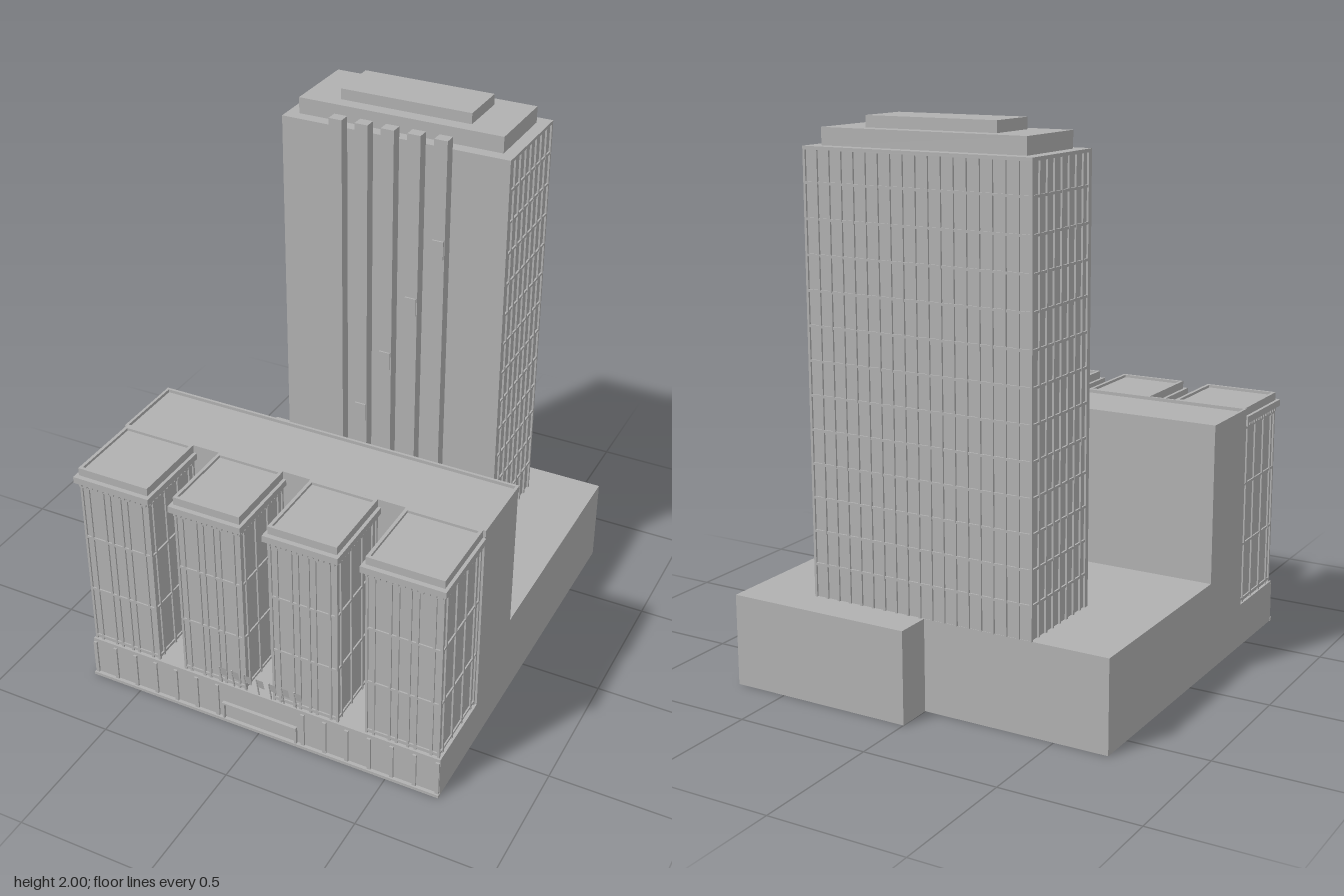
import * as THREE from 'three';
import { mergeGeometries } from 'three/addons/utils/BufferGeometryUtils.js';

const stone = new THREE.MeshStandardMaterial({ color: 0xb0b0b0, side: THREE.DoubleSide });
stone.name = 'grey stone';

// box given by its extents
function box(x0, x1, y0, y1, z0, z1) {
  return new THREE.BoxGeometry(x1 - x0, y1 - y0, z1 - z0)
    .translate((x0 + x1) / 2, (y0 + y1) / 2, (z0 + z1) / 2);
}

function add(parent, name, ...geometries) {
  const mesh = new THREE.Mesh(geometries.length > 1 ? mergeGeometries(geometries) : geometries[0], stone);
  mesh.name = name;
  parent.add(mesh);
  return mesh;
}

// hollow block on a footprint of [x, z] corners, open underneath
function shell(points, height) {
  const shape = new THREE.Shape(points.map(([x, z]) => new THREE.Vector2(x, -z)));
  const solid = new THREE.ExtrudeGeometry(shape, { depth: height, bevelEnabled: false }).rotateX(-Math.PI / 2);
  const p = solid.attributes.position;
  const kept = [];
  for (let i = 0; i < p.count; i += 3) {
    if (Math.max(p.getY(i), p.getY(i + 1), p.getY(i + 2)) < 1e-5) continue;
    for (let k = i; k < i + 3; k++) kept.push(p.getX(k), p.getY(k), p.getZ(k));
  }
  const open = new THREE.BufferGeometry();
  open.setAttribute('position', new THREE.Float32BufferAttribute(kept, 3));
  open.computeVertexNormals();
  return open;
}

// raised frame of four bars around a roof
function rim(x0, x1, y0, y1, z0, z1, t) {
  return [
    box(x0, x1, y0, y1, z0, z0 + t), box(x0, x1, y0, y1, z1 - t, z1),
    box(x0, x0 + t, y0, y1, z0 + t, z1 - t), box(x1 - t, x1, y0, y1, z0 + t, z1 - t),
  ];
}

// vertical and horizontal ribs on a wall of width w and height h, facing +z
function grid(w, h, columns, rows, depth, t) {
  const bars = [];
  for (const u of columns) {
    const x = -w / 2 + t / 2 + u * (w - t);
    bars.push(box(x - t / 2, x + t / 2, 0, h, 0, depth));
  }
  for (const v of rows) bars.push(box(-w / 2, w / 2, v * h - t / 2, v * h + t / 2, 0, depth * 0.9));
  return bars;
}

function addGrid(parent, name, bars, x, y, z, turn) {
  const mesh = add(parent, name, ...bars);
  mesh.position.set(x, y, z);
  mesh.rotation.y = turn;
}

const steps = (n) => Array.from({ length: n + 1 }, (_, i) => i / n);

function createTower() {
  const tower = new THREE.Group();
  tower.name = 'tower';
  const d = 0.007, y0 = 0.335, y1 = 1.9;
  const [l, r, b, f] = [-0.42, 0.45, -0.64, -0.25];
  add(tower, 'towerBody', box(l + d, r - d, y0, y1, b + d, f));
  add(tower, 'towerFrontWall', box(l, r, y0, y1, f - 0.02, f));
  add(tower, 'towerRoofEdge', box(l, r, y1 - 0.012, y1, b, f));
  add(tower, 'upperTier', box(-0.375, 0.405, y1, 1.96, -0.595, -0.295));
  add(tower, 'topTier', box(-0.235, 0.265, 1.96, 2, -0.54, -0.345));

  // window grids on the back and both sides
  const h = y1 - y0, floors = steps(13).slice(1, -1);
  addGrid(tower, 'backWindowGrid', grid(r - l, h, steps(18), floors, d, 0.009), (l + r) / 2, y0, b + d, Math.PI);
  const side = () => grid(f - b, h, steps(8), floors, d, 0.009);
  addGrid(tower, 'leftWindowGrid', side(), r - d, y0, (b + f) / 2, Math.PI / 2);
  addGrid(tower, 'rightWindowGrid', side(), l + d, y0, (b + f) / 2, -Math.PI / 2);

  // front fins, each with a small plate set higher than the last
  for (let i = 0; i < 5; i++) {
    const x = -0.187 + i * 0.1;
    add(tower, 'frontFin', box(x - 0.025, x + 0.025, y0, 1.945, f, -0.207));
    add(tower, 'finPlate', box(x - 0.022, x + 0.022, 0.5 + i * 0.25, 0.57 + i * 0.25, -0.207, -0.201));
  }
  return tower;
}

function createBay(x0, x1) {
  const bay = new THREE.Group();
  bay.name = 'bay';
  const d = 0.006, y0 = 0.165, y1 = 0.865, z0 = 0.45, z1 = 0.75;
  const w = x1 - x0, h = y1 - y0, depth = z1 - z0;
  add(bay, 'bayBody', box(x0 + d, x1 - d, y0, y1, z0, z1 - d));
  add(bay, 'cornice', box(x0 - 0.012, x1 + 0.012, y1, 0.89, z0, 0.768));
  add(bay, 'roofCap', box(x0, x1, 0.89, 0.91, z0, z1));
  add(bay, 'roofRim', ...rim(x0, x1, 0.91, 0.92, z0, z1, 0.012));

  // window grids
  const rows = [0.02, 0.33, 0.66, 0.97];
  addGrid(bay, 'frontWindowGrid', grid(w, h, [0, 0.1, 0.32, 0.42, 0.58, 0.68, 0.9, 1], rows, d, 0.009),
    (x0 + x1) / 2, y0, z1 - d, 0);
  for (const s of [-1, 1]) {
    addGrid(bay, 'sideWindowGrid', grid(depth, h, [0, 0.1, 0.36, 0.64, 0.9, 1], rows, d, 0.009),
      s > 0 ? x1 - d : x0 + d, y0, (z0 + z1) / 2, s * Math.PI / 2);
  }

  // dentils beneath the cornice
  const teeth = [];
  for (let i = 0; i < 13; i++) {
    const x = x0 + 0.008 + i * (w - 0.016) / 12;
    teeth.push(box(x - 0.005, x + 0.005, 0.85, y1, z1 - d, 0.76));
    const z = z0 + 0.02 + i * (depth - 0.03) / 12;
    teeth.push(box(x0 - 0.006, x0 + d, 0.85, y1, z - 0.005, z + 0.005));
    teeth.push(box(x1 - d, x1 + 0.006, 0.85, y1, z - 0.005, z + 0.005));
  }
  add(bay, 'dentils', ...teeth);
  return bay;
}

function createEntrance() {
  const entrance = new THREE.Group();
  entrance.name = 'entrance';
  add(entrance, 'canopy', box(-0.15, 0.15, 0.076, 0.084, 0.75, 0.77));
  for (const s of [-1, 1]) add(entrance, 'doorPost', box(s * 0.146 - 0.004, s * 0.146 + 0.004, 0, 0.076, 0.755, 0.768));
  // row of leaning poles with small flags
  for (let i = 0; i < 7; i++) {
    const x = -0.155 + i * 0.05;
    const flag = new THREE.Shape([[0, 0.045], [0.026, 0.082], [0.028, 0.04], [0, 0.082]]
      .sort((a, b) => Math.atan2(a[1] - 0.062, a[0] - 0.014) - Math.atan2(b[1] - 0.062, b[0] - 0.014))
      .map(([u, v]) => new THREE.Vector2(u, v)));
    const pole = add(entrance, 'flagPole', box(-0.002, 0.002, 0, 0.085, -0.002, 0.002));
    const cloth = add(entrance, 'flag', new THREE.ShapeGeometry(flag));
    for (const part of [pole, cloth]) {
      part.position.set(x, 0.165, 0.75);
      part.rotation.x = 0.18;
    }
  }
  return entrance;
}

export function createModel() {
  const model = new THREE.Group();
  model.name = 'building';

  // hollow podium with a stepped back, and the front base
  add(model, 'podium', shell([[-0.7, 0.165], [0.7, 0.165], [0.7, -0.768], [0, -0.768], [0, -0.635], [-0.7, -0.635]], 0.335));
  add(model, 'frontBase', shell([[-0.7, 0.757], [0.7, 0.757], [0.7, 0.165], [-0.7, 0.165]], 0.165));
  add(model, 'plinth', box(-0.702, 0.702, 0, 0.012, 0.755, 0.77));

  // pilasters along the base, leaving the entrance clear
  for (let i = 0; i < 17; i++) {
    const x = -0.692 + i * 0.0865;
    if (Math.abs(x) > 0.14) add(model, 'basePilaster', box(x - 0.007, x + 0.007, 0.012, 0.152, 0.755, 0.764));
  }

  // slab block behind the bays
  add(model, 'slabBlock', box(-0.7, 0.7, 0.165, 0.908, 0.165, 0.45));
  add(model, 'slabRoofRim', ...rim(-0.702, 0.702, 0.895, 0.92, 0.162, 0.45, 0.01));

  for (const [x0, x1] of [[-0.695, -0.415], [-0.312, -0.055], [0.052, 0.309], [0.412, 0.692]]) {
    model.add(createBay(x0, x1));
  }
  model.add(createEntrance(), createTower());
  return model;
}
